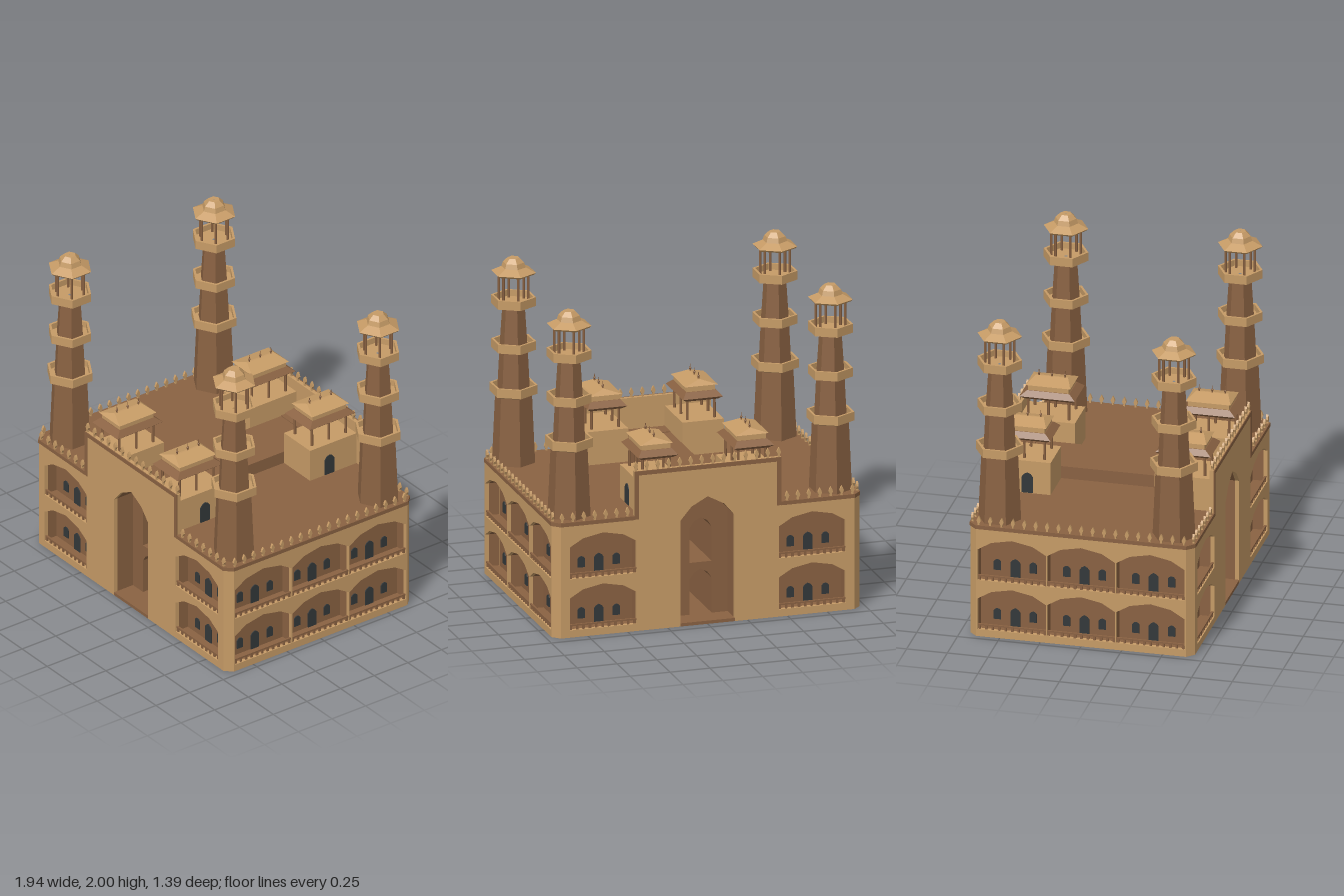
import * as THREE from 'three';

const mat = (name, color) => Object.assign(new THREE.MeshStandardMaterial({ color }), { name });
const sandstone = mat('sandstone', 0xc69b66);
const redStone = mat('brown stone', 0x8a6242);
const opening = mat('dark opening', 0x33383a);
const underside = mat('dark underside', 0x1a1a1a);

function add(parent, name, geometry, material, x = 0, y = 0, z = 0) {
  const mesh = new THREE.Mesh(geometry, material);
  mesh.name = name;
  mesh.position.set(x, y, z);
  parent.add(mesh);
  return mesh;
}
function group(parent, name, x = 0, y = 0, z = 0, turn = 0) {
  const g = new THREE.Group();
  g.name = name;
  g.position.set(x, y, z);
  g.rotation.y = turn;
  parent.add(g);
  return g;
}
function flat(geometry) {
  const g = geometry.toNonIndexed();
  g.computeVertexNormals();
  return g;
}
const points = list => list.map(([x, y]) => new THREE.Vector2(x, y));
const polygon = list => new THREE.Shape(points(list));
const extrude = (shape, depth) => new THREE.ExtrudeGeometry(shape, { depth, bevelEnabled: false });
const box = (w, h, d) => new THREE.BoxGeometry(w, h, d);
const hexLathe = profile => flat(new THREE.LatheGeometry(points(profile), 6));

// Pointed arch outline, standing on y, with half width w
const arch = (x, y, w, spring, shoulder, peak) => [
  [x - w, y], [x + w, y], [x + w, y + spring], [x + w * 0.6, y + shoulder],
  [x, y + peak], [x - w * 0.6, y + shoulder], [x - w, y + spring]];

// Box with different bottom and top sizes, standing on y = 0
function taper(w0, d0, w1, d1, h) {
  const g = box(1, 1, 1), p = g.attributes.position;
  for (let i = 0; i < p.count; i++) {
    const top = p.getY(i) > 0;
    p.setXYZ(i, p.getX(i) * (top ? w1 : w0), top ? h : 0, p.getZ(i) * (top ? d1 : d0));
  }
  g.computeVertexNormals();
  return g;
}
// Horizontal slab from an x-z outline
function slab(list, h) {
  const g = extrude(polygon(list.map(([x, z]) => [x, -z])), h);
  g.rotateX(-Math.PI / 2);
  return g;
}

const W = 0.965, D = 0.69, ROOF = 0.72, FACE = 0.025, NICHE = 0.09;
const LEVELS = [0.045, 0.365];
const bayOutline = (u, y) => arch(u, y, 0.21, 0.2, 0.25, 0.275);
const portalArch = arch(0, 0, 0.17, 0.665, 0.745, 0.8);
const merlonGeometry = extrude(polygon([[-0.006, 0], [0.006, 0], [0.005, 0.012], [0.013, 0.03],
  [0.008, 0.045], [0, 0.06], [-0.008, 0.045], [-0.013, 0.03], [-0.005, 0.012]]), 0.014);

function merlons(parent, from, to, count, y) {
  for (let i = 0; i < count; i++) {
    add(parent, 'merlon', merlonGeometry, sandstone, from + (to - from) * i / (count - 1), y, -0.018);
  }
}

// Thin face plus a deeper lining, both pierced by the bays
function piercedWall(parent, faceOutline, linings, bays) {
  const cut = (outline, centres) => {
    const s = polygon(outline);
    for (const u of centres) for (const y of LEVELS) s.holes.push(new THREE.Path(points(bayOutline(u, y))));
    return s;
  };
  add(parent, 'wallFace', extrude(cut(faceOutline, bays), FACE), sandstone, 0, 0, -FACE);
  for (const [a, b, centres] of linings) {
    const rect = [[a, 0], [b, 0], [b, 0.71], [a, 0.71]];
    add(parent, 'wallLining', extrude(cut(rect, centres), NICHE - FACE), redStone, 0, 0, -NICHE);
  }
  const door = extrude(polygon(arch(0, 0, 0.03, 0.095, 0.11, 0.12)), 0.006);
  const window_ = extrude(polygon(arch(0, 0, 0.022, 0.055, 0.065, 0.07)), 0.006);
  for (const u of bays) for (const y of LEVELS) {
    const bay = group(parent, 'bay', u, y, 0);
    add(bay, 'bayDoor', door, opening, 0, 0, -NICHE);
    for (const s of [-1, 1]) add(bay, 'bayWindow', window_, opening, s * 0.11, 0.04, -NICHE);
    add(bay, 'railing', box(0.42, 0.01, 0.012), redStone, 0, 0.028, -0.012);
    for (let i = -5; i <= 5; i++) add(bay, 'railPost', box(0.014, 0.025, 0.01), redStone, i * 0.04, 0.0125, -0.012);
  }
}

function frontWall(parent, turn) {
  const g = group(parent, 'portalWall', 0, 0, D * Math.cos(turn), turn);
  const [bl, br, ...rest] = portalArch;
  const outline = [[-0.87, 0], bl, ...rest.reverse(), br, [0.87, 0], [0.87, ROOF - 0.01],
    [0.46, ROOF - 0.01], [0.46, 1], [-0.46, 1], [-0.46, ROOF - 0.01], [-0.87, ROOF - 0.01]];
  piercedWall(g, outline, [[-0.87, -0.17, [-0.655]], [0.17, 0.87, [0.655]]], [-0.655, 0.655]);
  // Raised screen trim and crest
  add(g, 'screenTopTrim', box(0.92, 0.026, 0.006), redStone, 0, 0.988, 0.002);
  for (const s of [-1, 1]) {
    add(g, 'screenSideTrim', box(0.026, 0.275, 0.006), redStone, s * 0.447, 0.8375, 0.002);
    merlons(g, s * 0.5, s * 0.91, 7, ROOF);
  }
  merlons(g, -0.448, 0.448, 14, 1);
  // Pointed vault over the deep portal
  const vault = polygon([[-0.17, 0.66], [-0.17, 0.665], [-0.102, 0.745], [0, 0.798], [0.102, 0.745],
    [0.17, 0.665], [0.17, 0.66], [0.175, 0.66], [0.175, 0.805], [-0.175, 0.805], [-0.175, 0.66]]);
  add(g, 'portalVault', extrude(vault, 0.115), redStone, 0, 0, -0.14);
}

function sideWall(parent, s) {
  const g = group(parent, 'sideWall', s * W, 0, 0, s * Math.PI / 2);
  const bays = [-0.425, 0, 0.425];
  piercedWall(g, [[-0.64, 0], [0.64, 0], [0.64, 0.71], [-0.64, 0.71]], [[-0.64, 0.64, bays]], bays);
  merlons(g, -0.63, 0.63, 19, ROOF);
}

function kiosk(parent, sx, sz) {
  const g = group(parent, 'roofKiosk', sx * 0.3, 0, sz * 0.492);
  add(g, 'kioskBase', box(0.26, 0.22, 0.345), sandstone, 0, 0.82, 0);
  const door = add(g, 'kioskDoor', extrude(polygon(arch(0, 0, 0.035, 0.1, 0.12, 0.13)), 0.005), opening, sx * 0.13, 0.725, -sz * 0.03);
  door.rotation.y = sx * Math.PI / 2;
  for (const x of [-0.085, 0.085]) for (const z of [-0.125, 0, 0.125]) {
    add(g, 'kioskPost', new THREE.CylinderGeometry(0.008, 0.009, 0.13, 6), redStone, x, 0.993, z);
  }
  add(g, 'eaveUnderside', taper(0.2, 0.29, 0.25, 0.34, 0.02), redStone, 0, 1.05, 0);
  add(g, 'eave', taper(0.25, 0.34, 0.19, 0.26, 0.032), redStone, 0, 1.07, 0);
  add(g, 'roofDrum', taper(0.18, 0.25, 0.18, 0.25, 0.045), sandstone, 0, 1.095, 0);
  add(g, 'hipRoof', taper(0.205, 0.275, 0.012, 0.2, 0.03), sandstone, 0, 1.137, 0);
  for (const z of [-0.08, 0, 0.08]) {
    add(g, 'finial', new THREE.CylinderGeometry(0.001, 0.006, 0.05, 6), redStone, 0, 1.185, z);
    add(g, 'finialBall', new THREE.SphereGeometry(0.008, 6, 4), redStone, 0, 1.182, z);
  }
}

function tower(parent, sx, sz) {
  const g = group(parent, 'cornerTower', sx * 0.819, 0, sz * 0.535);
  const tiers = [[0.71, 1.16, 0.132, 0.112, 0.146], [1.16, 1.435, 0.1, 0.086, 0.137], [1.435, 1.71, 0.086, 0.068, 0.137]];
  for (const [y0, y1, r0, r1, rim] of tiers) {
    add(g, 'towerShaft', hexLathe([[r0, y0], [r1, y1]]), redStone);
    add(g, 'balcony', hexLathe([[r1, y1 - 0.018], [rim, y1 - 0.005], [rim, y1 + 0.05],
      [rim - 0.016, y1 + 0.05], [rim - 0.016, y1 + 0.012], [0.01, y1 + 0.012]]), sandstone);
  }
  for (let i = 0; i < 6; i++) {
    const a = i * Math.PI / 3;
    add(g, 'lanternPost', new THREE.CylinderGeometry(0.008, 0.008, 0.2, 6), redStone, 0.09 * Math.sin(a), 1.815, 0.09 * Math.cos(a));
  }
  add(g, 'lanternDome', hexLathe([[0.01, 1.9], [0.125, 1.9], [0.137, 1.912], [0.075, 1.942],
    [0.065, 1.972], [0.036, 2], [0.002, 2]]), sandstone);
}

export function createModel() {
  const model = new THREE.Group();
  model.name = 'gatehouse';

  for (const turn of [0, Math.PI]) frontWall(model, turn);
  for (const s of [-1, 1]) {
    sideWall(model, s);
    // Solid wing behind the niches, and its roof with a stepped cornice
    add(model, 'wing', box(0.705, 0.71, 1.2), redStone, s * 0.5225, 0.355, 0);
    const half = [[0.17, 0.668], [0.46, 0.668], [0.46, D + 0.004], [0.922, D + 0.004], [W + 0.004, 0.647]];
    const roof = [...half, ...half.map(([x, z]) => [x, -z]).reverse()].map(([x, z]) => [s * x, z]);
    add(model, 'wingRoof', slab(roof, 0.024), redStone, 0, 0.698, 0);
  }

  // Two-storey passage through the middle
  const passage = polygon([[-0.17, 0], [0.17, 0], [0.17, 0.8], [-0.17, 0.8]]);
  passage.holes.push(new THREE.Path(points(arch(0, 0.02, 0.07, 0.22, 0.26, 0.285))),
    new THREE.Path(points(arch(0, 0.345, 0.07, 0.215, 0.258, 0.28))));
  add(model, 'passage', extrude(passage, 1.1), redStone, 0, 0, -0.55);
  add(model, 'passageFloor', box(0.34, 0.02, 2 * D), redStone, 0, 0.01, 0);
  add(model, 'passageLintel', box(0.14, 0.065, 0.7), sandstone, 0, 0.2725, 0);

  // Chamfered corners, towers and kiosks
  for (const sx of [-1, 1]) for (const sz of [-1, 1]) {
    const corner = [[0.87, D], [0.92, D], [W, 0.645], [W, 0.64], [0.87, 0.64]];
    add(model, 'cornerPier', slab(corner.map(([x, z]) => [sx * x, sz * z]), 0.7), sandstone);
    tower(model, sx, sz);
    kiosk(model, sx, sz);
  }

  // Underside
  const foot = [[0.92, D], [W, 0.645], [W, -0.645], [0.92, -D], [-0.92, -D], [-W, -0.645], [-W, 0.645], [-0.92, D]];
  add(model, 'underside', new THREE.ShapeGeometry(polygon(foot)).rotateX(Math.PI / 2), underside, 0, -0.001, 0);
  return model;
}
